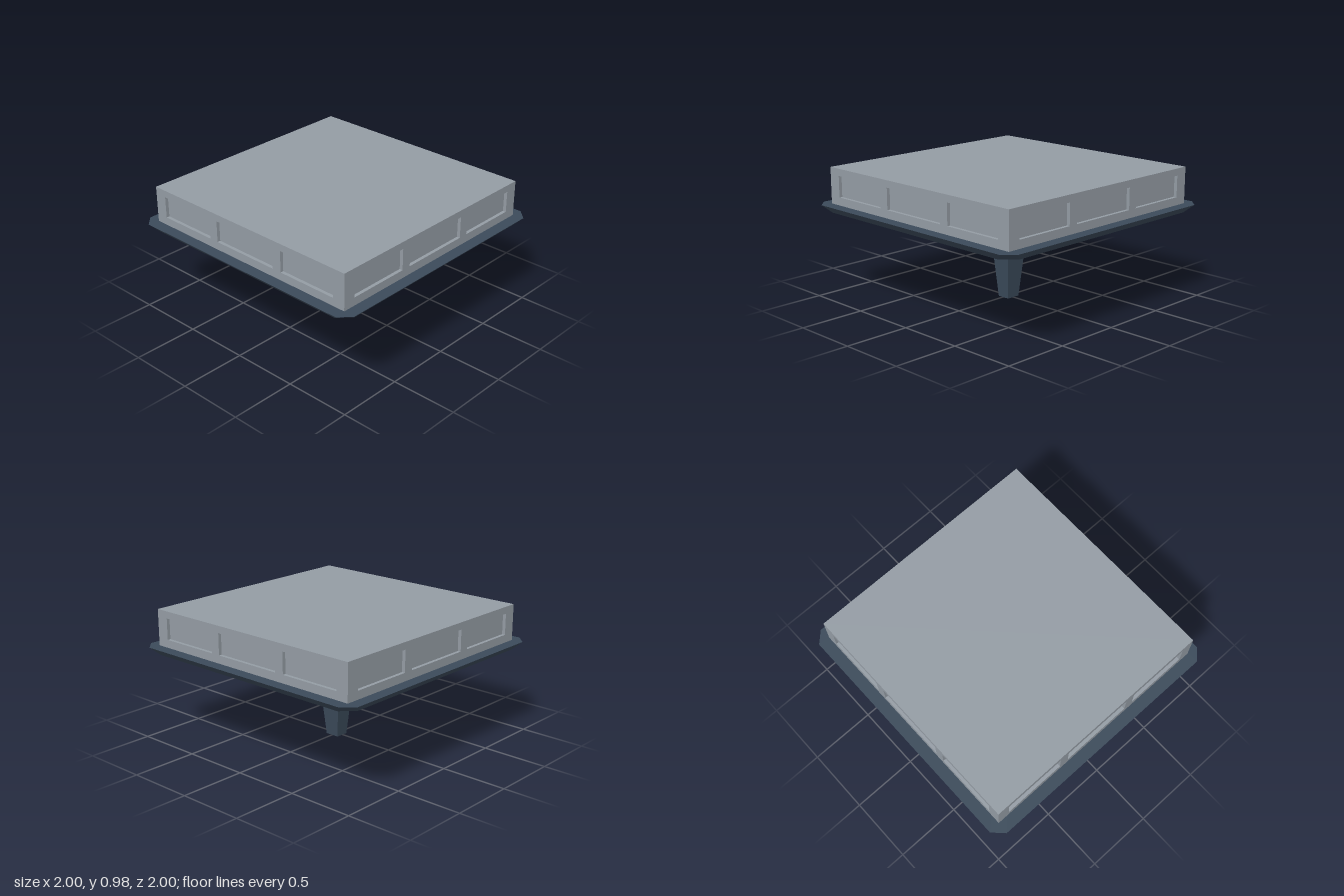
import * as THREE from 'three';

const slate = new THREE.MeshStandardMaterial({ color: 0x3b4a5a });
slate.name = 'slate blue';
const grey = new THREE.MeshStandardMaterial({ color: 0x949ca4 });
grey.name = 'stone grey';

// Square outline [x, z] with optional corner cuts on the +x and -x sides
function outline(h, cutRight = 0, cutLeft = 0) {
  const points = [];
  const corner = (a, b, cut) => (cut ? points.push(a, b) : points.push([Math.sign(a[0]) * h, Math.sign(a[1]) * h]));
  const r = h - cutRight, l = h - cutLeft;
  corner([r, h], [h, r], cutRight);
  corner([h, -r], [r, -h], cutRight);
  corner([-l, -h], [-h, -l], cutLeft);
  corner([-h, l], [-l, h], cutLeft);
  return points;
}

// Flat-sided solid between two outlines
function loft(name, bottom, y0, top, y1, material) {
  const n = bottom.length, pos = [];
  const b = (i) => [bottom[i % n][0], y0, bottom[i % n][1]];
  const t = (i) => [top[i % n][0], y1, top[i % n][1]];
  for (let i = 0; i < n; i++) {
    pos.push(...b(i), ...b(i + 1), ...t(i + 1), ...b(i), ...t(i + 1), ...t(i));
    if (i > 0 && i < n - 1) pos.push(...t(0), ...t(i), ...t(i + 1), ...b(0), ...b(i + 1), ...b(i));
  }
  const geometry = new THREE.BufferGeometry();
  geometry.setAttribute('position', new THREE.Float32BufferAttribute(pos, 3));
  geometry.computeVertexNormals();
  const mesh = new THREE.Mesh(geometry, material);
  mesh.name = name;
  return mesh;
}

function rectangle(PathType, x0, y0, x1, y1) {
  return new PathType([[x0, y0], [x1, y0], [x1, y1], [x0, y1]].map(([x, y]) => new THREE.Vector2(x, y)));
}

export function createModel() {
  const group = new THREE.Group();
  const half = 0.912, base = 0.71, roof = 0.983, depth = 0.025;

  // Tapered post with a collar
  group.add(
    loft('lowerPost', outline(0.055, 0, 0.012), 0, outline(0.084, 0, 0.014), 0.33, slate),
    loft('postCollar', outline(0.095), 0.325, outline(0.095), 0.367, slate),
    loft('upperPost', outline(0.09, 0, 0.022), 0.36, outline(0.113, 0, 0.022), 0.658, slate),
  );

  // Tray with cut corners and sloping rim
  group.add(loft('tray', outline(0.948, 0.09, 0.09), 0.656, outline(1, 0.08, 0.08), base, slate));

  // Core forming the backs of the recessed panels
  const inner = outline(half - depth);
  group.add(loft('panelBacks', inner, base, inner, roof - 0.01, grey));

  // Four mitred wall frames, each with three openings
  const shape = rectangle(THREE.Shape, -half, base, half, roof);
  for (const [x0, x1] of [[-0.817, -0.345], [-0.272, 0.272], [0.345, 0.817]]) {
    shape.holes.push(rectangle(THREE.Path, x0, 0.77, x1, 0.93));
  }
  const frame = new THREE.ExtrudeGeometry(shape, { depth, bevelEnabled: false });
  const p = frame.attributes.position;
  for (let i = 0; i < p.count; i++) {
    if (p.getZ(i) > depth / 2) continue;
    if (Math.abs(p.getX(i)) > 0.9) p.setX(i, Math.sign(p.getX(i)) * (half - depth));
    if (p.getY(i) > 0.95) p.setY(i, roof - depth);
  }
  frame.computeVertexNormals();
  frame.translate(0, 0, half - depth);
  ['front', 'left', 'back', 'right'].forEach((side, i) => {
    const wall = new THREE.Mesh(frame, grey);
    wall.name = side + 'Wall';
    wall.rotation.y = (i * Math.PI) / 2;
    group.add(wall);
  });

  // Flat top
  const top = new THREE.Mesh(new THREE.PlaneGeometry(half * 2, half * 2), grey);
  top.name = 'top';
  top.rotation.x = -Math.PI / 2;
  top.position.y = roof;
  group.add(top);

  return group;
}
